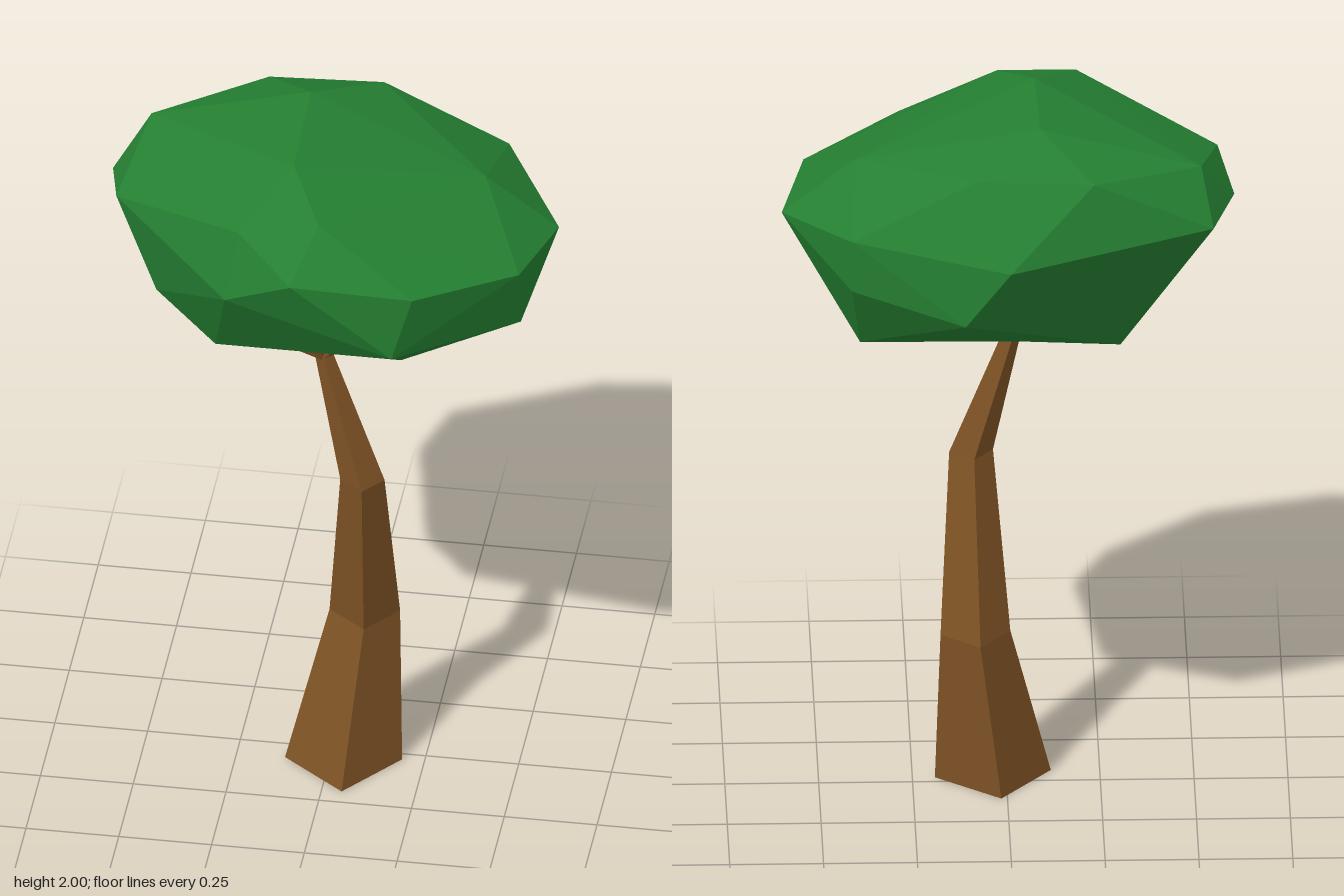
import * as THREE from 'three';
import { ConvexGeometry } from 'three/addons/geometries/ConvexGeometry.js';

const bark = new THREE.MeshStandardMaterial({ color: 0x7f5325 });
bark.name = 'barkBrown';
const leaf = new THREE.MeshStandardMaterial({ color: 0x258032 });
leaf.name = 'leafGreen';

function facetedMesh(geometry, material, name) {
  const g = geometry.index ? geometry.toNonIndexed() : geometry;
  g.computeVertexNormals();
  const mesh = new THREE.Mesh(g, material);
  mesh.name = name;
  return mesh;
}

// Crooked four-sided trunk: each ring is [x, y, z, radius], bottom to top
function makeTrunk() {
  const rings = [
    [0.035, 0, 0.045, 0.156],
    [0.083, 0.445, -0.015, 0.094],
    [0.092, 0.935, 0.085, 0.059],
    [-0.02, 1.315, 0.047, 0.024],
  ];
  const g = new THREE.CylinderGeometry(1, 1, 3, 4, 3);
  g.rotateY(0.12);
  const p = g.attributes.position;
  for (let i = 0; i < p.count; i++) {
    const [x, y, z, r] = rings[Math.round(p.getY(i) + 1.5)];
    p.setXYZ(i, x + p.getX(i) * r, y, z + p.getZ(i) * r);
  }
  return facetedMesh(g, bark, 'trunk');
}

// Thin tapering branch running from the trunk top into the crown
function makeBranch(tip) {
  const start = new THREE.Vector3(-0.02, 1.305, 0.047);
  const dir = new THREE.Vector3(...tip).sub(start).multiplyScalar(1.25);
  const length = dir.length();
  const g = new THREE.CylinderGeometry(0.013, 0.021, length, 4);
  g.translate(0, length / 2, 0);
  const mesh = facetedMesh(g, bark, 'branch');
  mesh.position.copy(start);
  mesh.quaternion.setFromUnitVectors(new THREE.Vector3(0, 1, 0), dir.normalize());
  return mesh;
}

// Faceted crown: a hull of rough rings, with the underside pressed in
function makeCrown() {
  const top = [
    [-0.085, 2.0, -0.165], [-0.08, 1.99, 0.17], [0.405, 1.86, -0.045],
    [0.015, 1.93, 0.35], [-0.195, 1.91, 0.39], [-0.515, 1.885, -0.165],
    [-0.225, 1.915, -0.34], [0.085, 1.93, -0.34],
  ];
  const rim = [
    [0.6, 1.71, -0.055], [0.535, 1.735, 0.22], [0.28, 1.77, 0.435],
    [-0.04, 1.82, 0.495], [-0.225, 1.72, 0.435], [-0.565, 1.81, 0.125],
    [-0.605, 1.76, -0.075], [-0.545, 1.75, -0.27], [0, 1.73, -0.5],
    [0.42, 1.76, -0.35],
  ];
  const lower = [
    [0.42, 1.61, -0.34], [0.12, 1.56, -0.465], [0.225, 1.58, 0.44],
    [0.53, 1.54, 0.155], [-0.45, 1.55, 0.17],
    [0.395, 1.395, -0.2], [-0.3, 1.355, -0.15], [-0.28, 1.44, 0.24],
    [0.22, 1.44, 0.24],
  ];
  // Underside points: hull position and the height they are raised to
  const pressed = [[-0.05, 1.36, -0.2, 1.39], [-0.03, 1.33, 0.05, 1.42]];
  const points = [...top, ...rim, ...lower, ...pressed];
  const g = new ConvexGeometry(points.map(([x, y, z]) => new THREE.Vector3(x, y, z)));
  const p = g.attributes.position;
  for (let i = 0; i < p.count; i++) {
    for (const [x, y, z, lift] of pressed) {
      const d = Math.hypot(p.getX(i) - x, p.getY(i) - y, p.getZ(i) - z);
      if (d < 1e-4) p.setY(i, lift);
    }
  }
  return facetedMesh(g, leaf, 'crown');
}

export function createModel() {
  const tree = new THREE.Group();
  tree.name = 'tree';
  tree.add(makeTrunk());

  const branches = new THREE.Group();
  branches.name = 'branches';
  const tips = [
    [-0.18, 1.385, -0.14], [0.07, 1.425, 0.13], [0.08, 1.43, -0.07],
    [-0.13, 1.425, 0.16], [-0.02, 1.44, 0.11],
  ];
  for (const tip of tips) branches.add(makeBranch(tip));
  tree.add(branches);

  tree.add(makeCrown());
  return tree;
}
